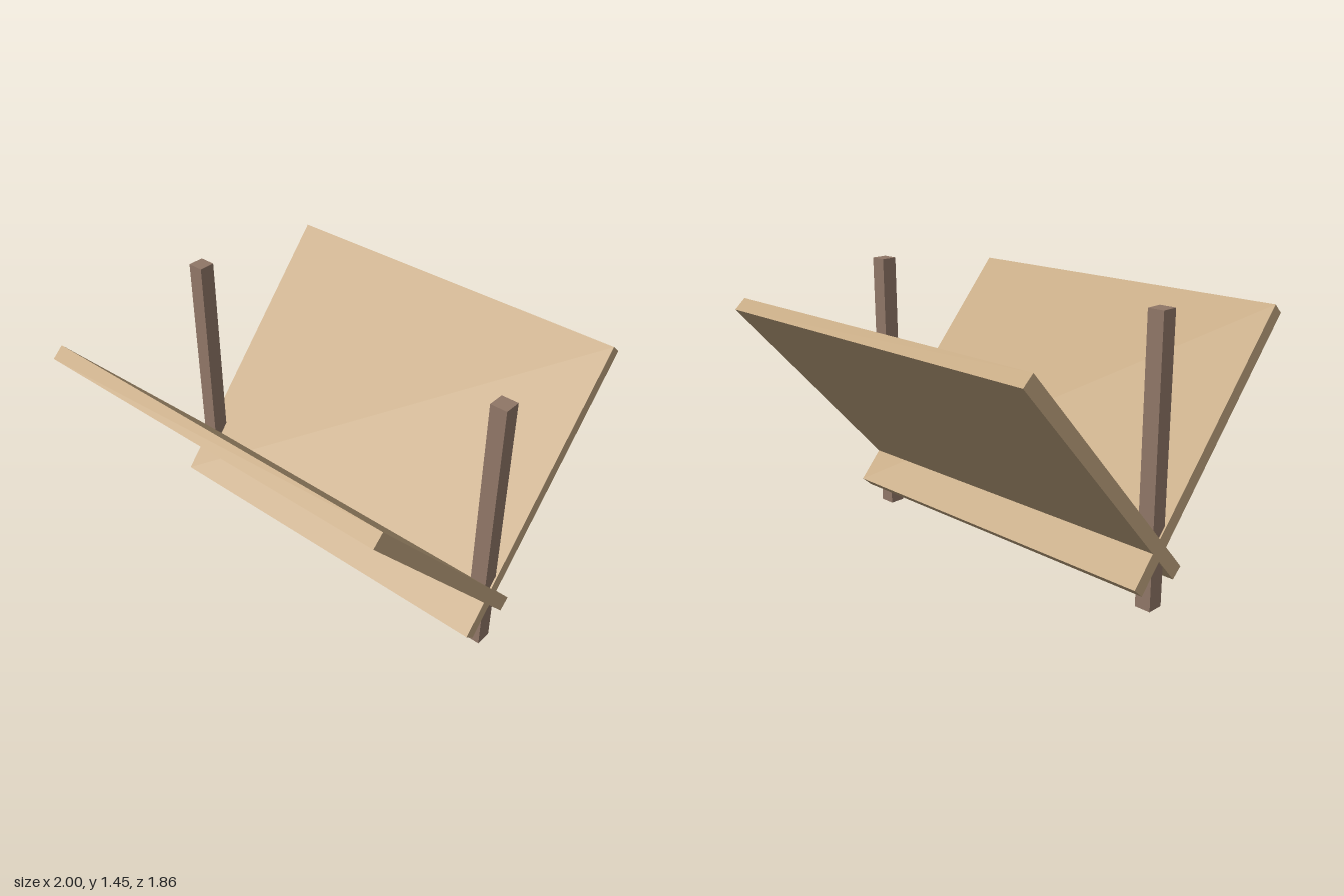
import * as THREE from 'three';

const tan = new THREE.MeshStandardMaterial({ color: 0xc4a882 });
tan.name = 'tan board';
const brown = new THREE.MeshStandardMaterial({ color: 0x907767 });
brown.name = 'brown post';

export function createModel() {
  const group = new THREE.Group();
  group.name = 'crossedBoardRack';

  const addBox = (name, size, position, material) => {
    const mesh = new THREE.Mesh(new THREE.BoxGeometry(...size), material);
    mesh.name = name;
    mesh.position.set(...position);
    group.add(mesh);
    return mesh;
  };

  // Two wide boards crossing low down in a V
  const tilt = Math.atan2(1.05, 1.175);
  for (const [name, side] of [['frontBoard', 1], ['backBoard', -1]]) {
    const board = addBox(name, [2, 1.576, 0.076], [0, 0.728, side * 0.375], tan);
    board.rotation.x = side * tilt;
  }

  // Upright square posts through the crossing at each end
  for (const [name, side] of [['leftPost', 1], ['rightPost', -1]]) {
    addBox(name, [0.087, 1.45, 0.087], [side * 0.948, 0.725, 0], brown);
  }

  return group;
}
